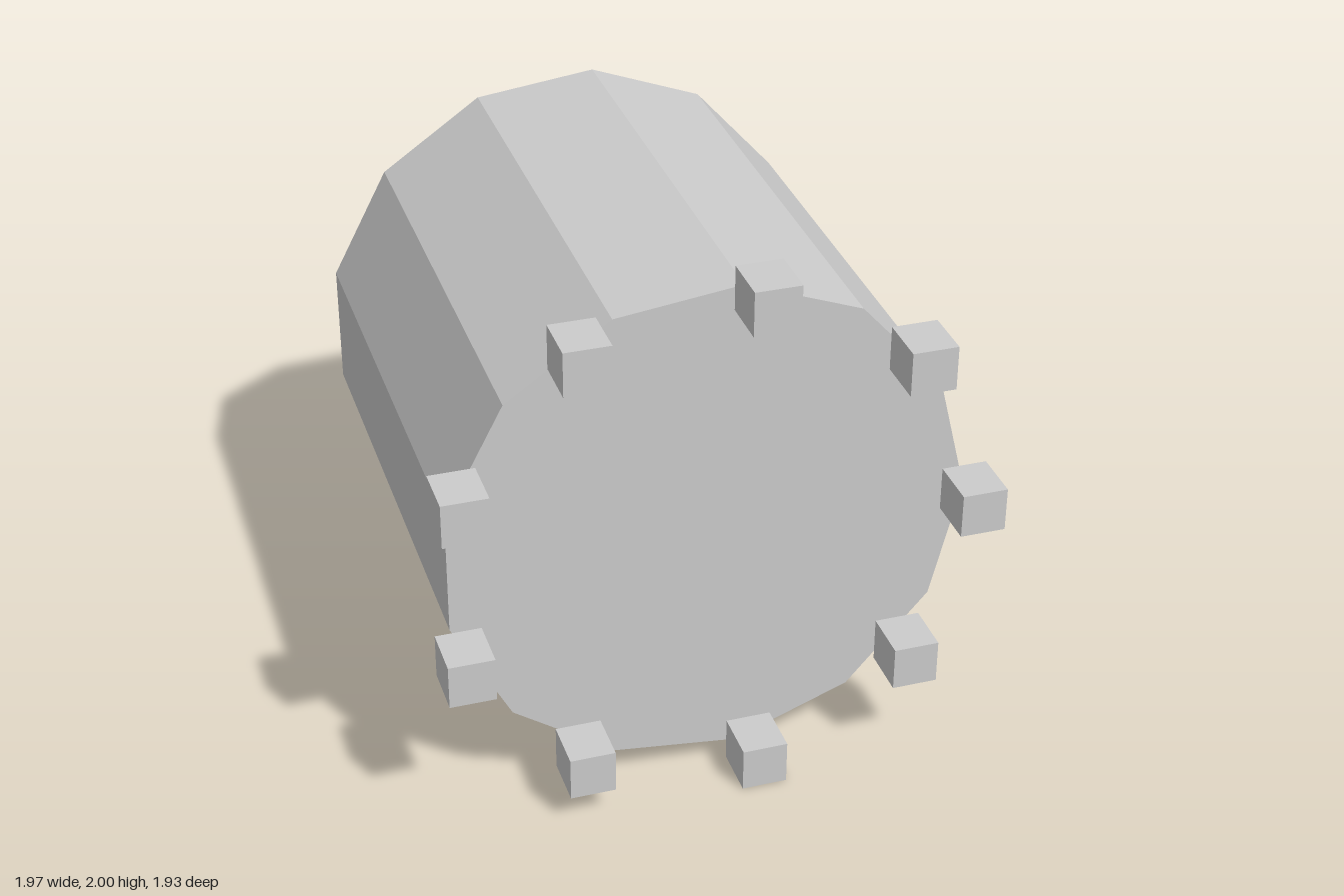
import * as THREE from 'three';

export function createModel() {
  const model = new THREE.Group();
  model.name = 'drumWithBlocks';
  const material = new THREE.MeshStandardMaterial({ color: 0xcccccc, flatShading: true });

  const centreX = -0.03, centreY = 1, radius = 0.933;
  const back = -0.967, face = 0.78, front = 0.967;

  // Thirteen-sided drum lying along z, one corner pointing to +x
  const drumGeometry = new THREE.CylinderGeometry(radius, radius, face - back, 13, 1, false, Math.PI / 2);
  drumGeometry.rotateX(Math.PI / 2);
  const drum = new THREE.Mesh(drumGeometry, material);
  drum.name = 'drum';
  drum.position.set(centreX, centreY, (face + back) / 2);
  model.add(drum);

  // Ring of nine upright blocks standing on the front rim
  const ring = new THREE.Group();
  ring.name = 'blockRing';
  ring.position.set(centreX, centreY, (face + front) / 2);
  const blockGeometry = new THREE.BoxGeometry(0.162, 0.162, front - face);
  const count = 9;
  for (let i = 0; i < count; i++) {
    const angle = (i / count) * Math.PI * 2;
    const block = new THREE.Mesh(blockGeometry, material);
    block.name = `rimBlock${i + 1}`;
    block.position.set(radius * Math.cos(angle), radius * Math.sin(angle), 0);
    ring.add(block);
  }
  model.add(ring);

  return model;
}
